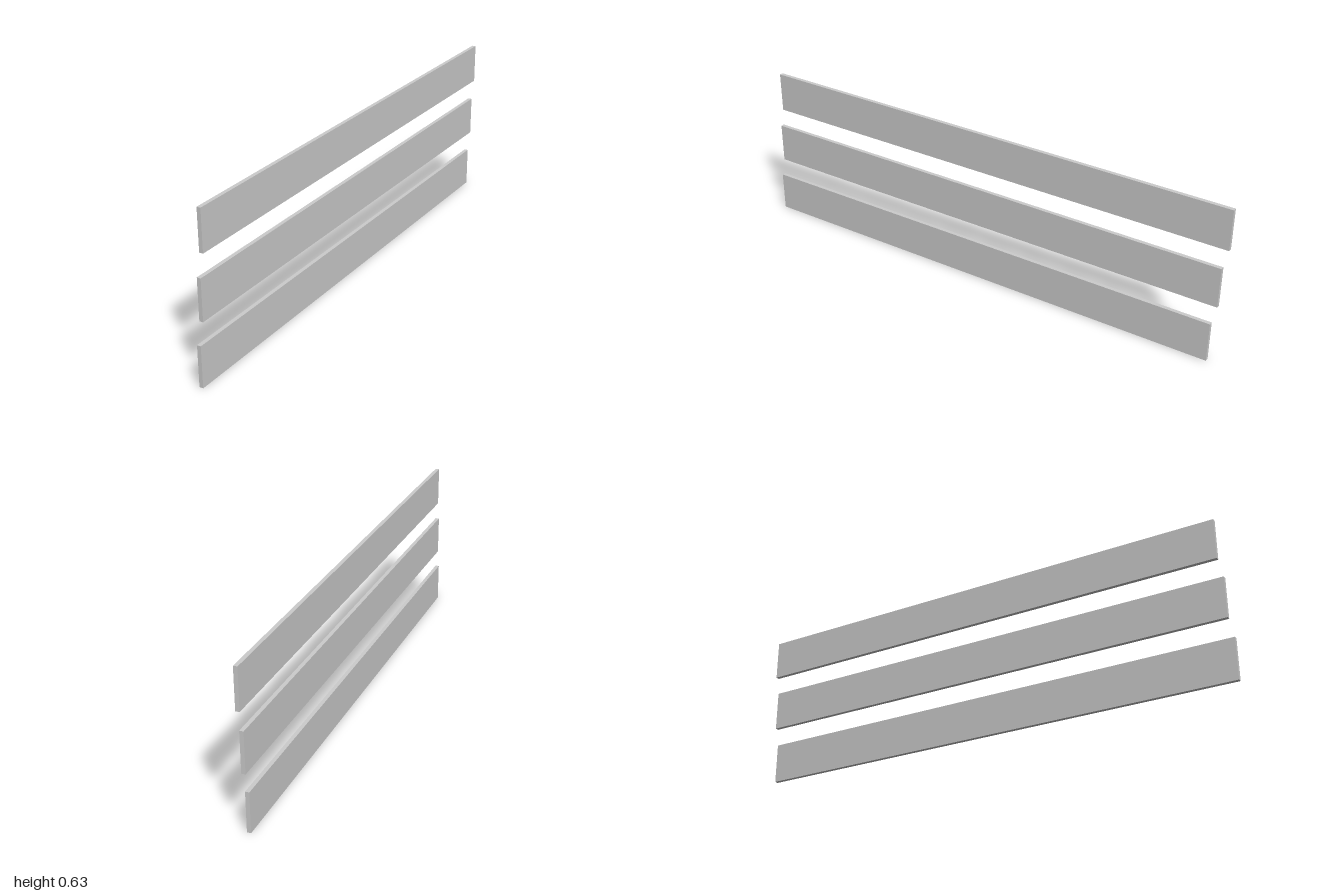
import * as THREE from 'three';

export function createModel() {
  const group = new THREE.Group();
  const material = new THREE.MeshStandardMaterial({ color: 0xcccccc, flatShading: true });
  const length = 1.963, height = 0.157, thickness = 0.015, spacing = 0.2355;
  const board = new THREE.BoxGeometry(thickness, height, length);

  // Three parallel boards, each stepped slightly backwards from the one below
  ['lowerBoard', 'middleBoard', 'upperBoard'].forEach((name, i) => {
    const mesh = new THREE.Mesh(board, material);
    mesh.name = name;
    mesh.position.set((i - 1) * 0.0005, height / 2 + i * spacing, (1 - i) * 0.0185);
    group.add(mesh);
  });
  return group;
}
